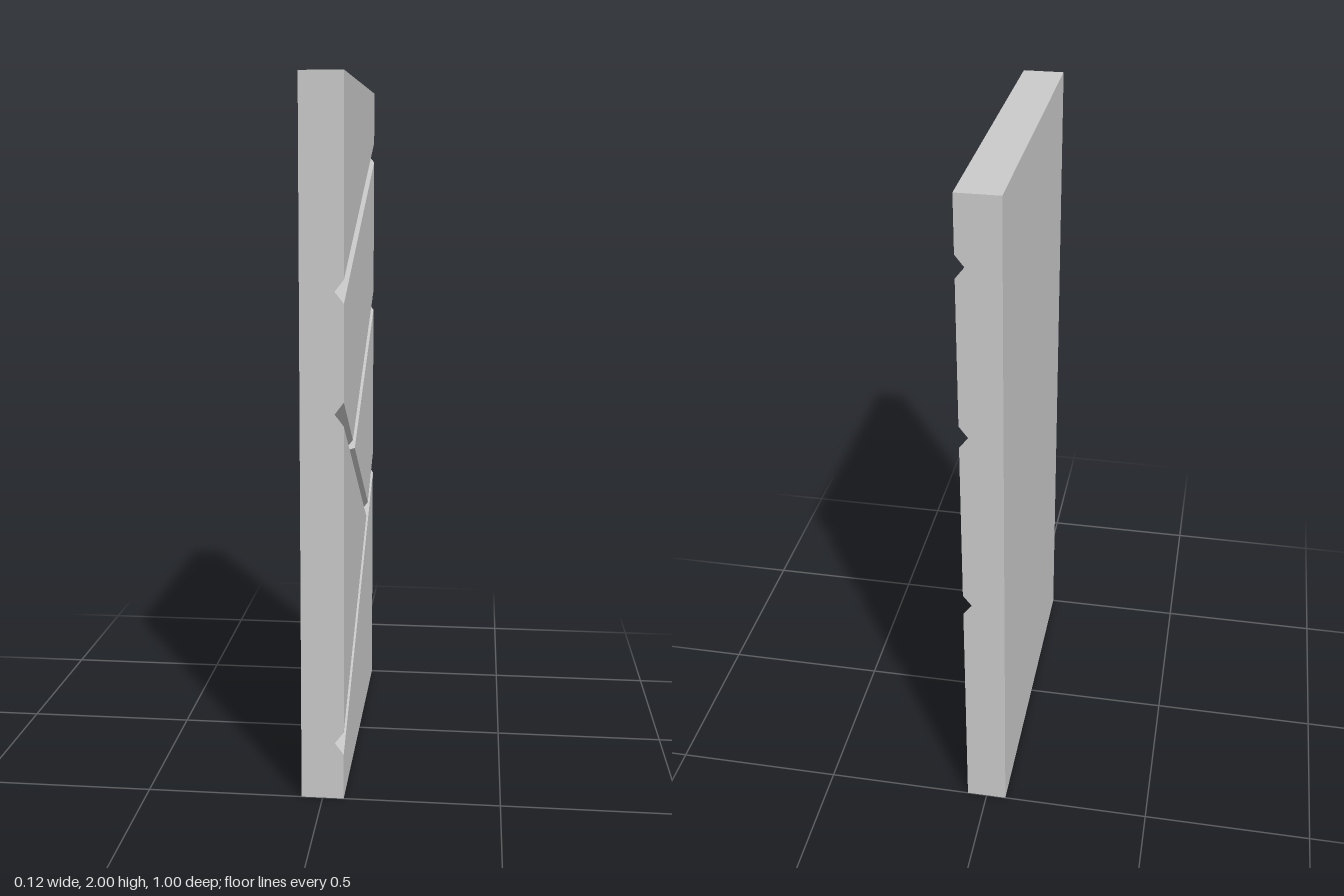
import * as THREE from 'three';

const X = 0.06, FLOOR = 0.035, H = 2, W = 0.5; // slab half thickness, groove floor, height, half width

// Grooves as straight lines on the carved side: y = c + s * u, where u = -z
const top = { c: 1.62, s: 0.378, h: 0.032 };
const middle = { c: 1.07, s: 0.5, h: 0.033 };
const cross = { c: 0.807, s: -0.59, h: 0.033 };
const low = { c: 0.461, s: 0.592, h: 0.033 };

// Point on a groove line; side is 1 for the upper edge, 0 for the valley, -1 for the lower edge
const at = (g, side, u) => [side ? X : FLOOR, g.c + g.s * u + side * g.h, -u];
// Point where two groove lines meet
const meet = (a, sa, b, sb) => at(a, sa, (b.c + sb * b.h - a.c - sa * a.h) / (a.s - b.s));

const material = new THREE.MeshStandardMaterial({ color: 0xcccccc, flatShading: true });

// Mesh of convex polygons, corners anticlockwise from outside
function polygons(name, faces) {
  const pos = [];
  for (const f of faces)
    for (let i = 1; i < f.length - 1; i++) pos.push(...f[0], ...f[i], ...f[i + 1]);
  const geo = new THREE.BufferGeometry();
  geo.setAttribute('position', new THREE.Float32BufferAttribute(pos, 3));
  geo.computeVertexNormals();
  const mesh = new THREE.Mesh(geo, material);
  mesh.name = name;
  return mesh;
}

// Narrow end of the slab, notched where grooves run out
function notchedEnd(name, z, grooves) {
  const m = Math.sign(z);
  const pts = [[-X, 0], [X, 0]];
  for (const g of grooves)
    for (const side of [-1, 0, 1]) pts.push(at(g, side, -z).slice(0, 2));
  pts.push([X, H], [-X, H]);
  const geo = new THREE.ShapeGeometry(new THREE.Shape(pts.map(([x, y]) => new THREE.Vector2(m * x, y))));
  if (m < 0) geo.rotateY(Math.PI);
  geo.translate(0, 0, z);
  const mesh = new THREE.Mesh(geo, material);
  mesh.name = name;
  return mesh;
}

export function createModel() {
  const group = new THREE.Group();
  group.name = 'groovedPanel';

  // Groove junctions: valley points and the surface corners around them
  const P = meet(middle, 0, cross, 0), Q = meet(cross, 0, low, 0);
  const A = meet(middle, 1, cross, 1), B = meet(middle, -1, cross, 1);
  const C = meet(cross, -1, low, 1), D = meet(cross, 1, low, 1);

  // Flat areas between the grooves
  group.add(polygons('carvedFace', [
    [at(top, 1, -W), at(top, 1, W), [X, H, -W], [X, H, W]],
    [at(cross, 1, -W), A, at(middle, 1, W), at(top, -1, W), at(top, -1, -W)],
    [B, D, at(low, 1, W), at(middle, -1, W)],
    [at(low, 1, -W), C, at(cross, -1, -W)],
    [[X, 0, W], [X, 0, -W], at(low, -1, W), at(low, -1, -W)],
  ]));

  // Sloping walls of each groove, mitred where they join
  group.add(polygons('topGroove', [
    [at(top, -1, -W), at(top, -1, W), at(top, 0, W), at(top, 0, -W)],
    [at(top, 0, -W), at(top, 0, W), at(top, 1, W), at(top, 1, -W)],
  ]));
  group.add(polygons('middleGroove', [
    [B, at(middle, -1, W), at(middle, 0, W), P],
    [P, at(middle, 0, W), at(middle, 1, W), A],
  ]));
  group.add(polygons('crossGroove', [
    [at(cross, -1, -W), C, Q, at(cross, 0, -W)],
    [at(cross, 0, -W), P, A, at(cross, 1, -W)],
    [P, Q, D, B],
  ]));
  group.add(polygons('lowGroove', [
    [at(low, -1, -W), at(low, -1, W), at(low, 0, W), at(low, 0, -W)],
    [at(low, 0, -W), Q, C, at(low, 1, -W)],
    [Q, at(low, 0, W), at(low, 1, W), D],
  ]));

  // Plain side, top and bottom
  group.add(polygons('plainFace', [[[-X, 0, -W], [-X, 0, W], [-X, H, W], [-X, H, -W]]]));
  group.add(polygons('topEdge', [[[-X, H, W], [X, H, W], [X, H, -W], [-X, H, -W]]]));
  group.add(polygons('bottomEdge', [[[-X, 0, -W], [X, 0, -W], [X, 0, W], [-X, 0, W]]]));

  group.add(notchedEnd('frontEdge', W, [low, cross, top]));
  group.add(notchedEnd('backEdge', -W, [low, middle, top]));
  return group;
}
